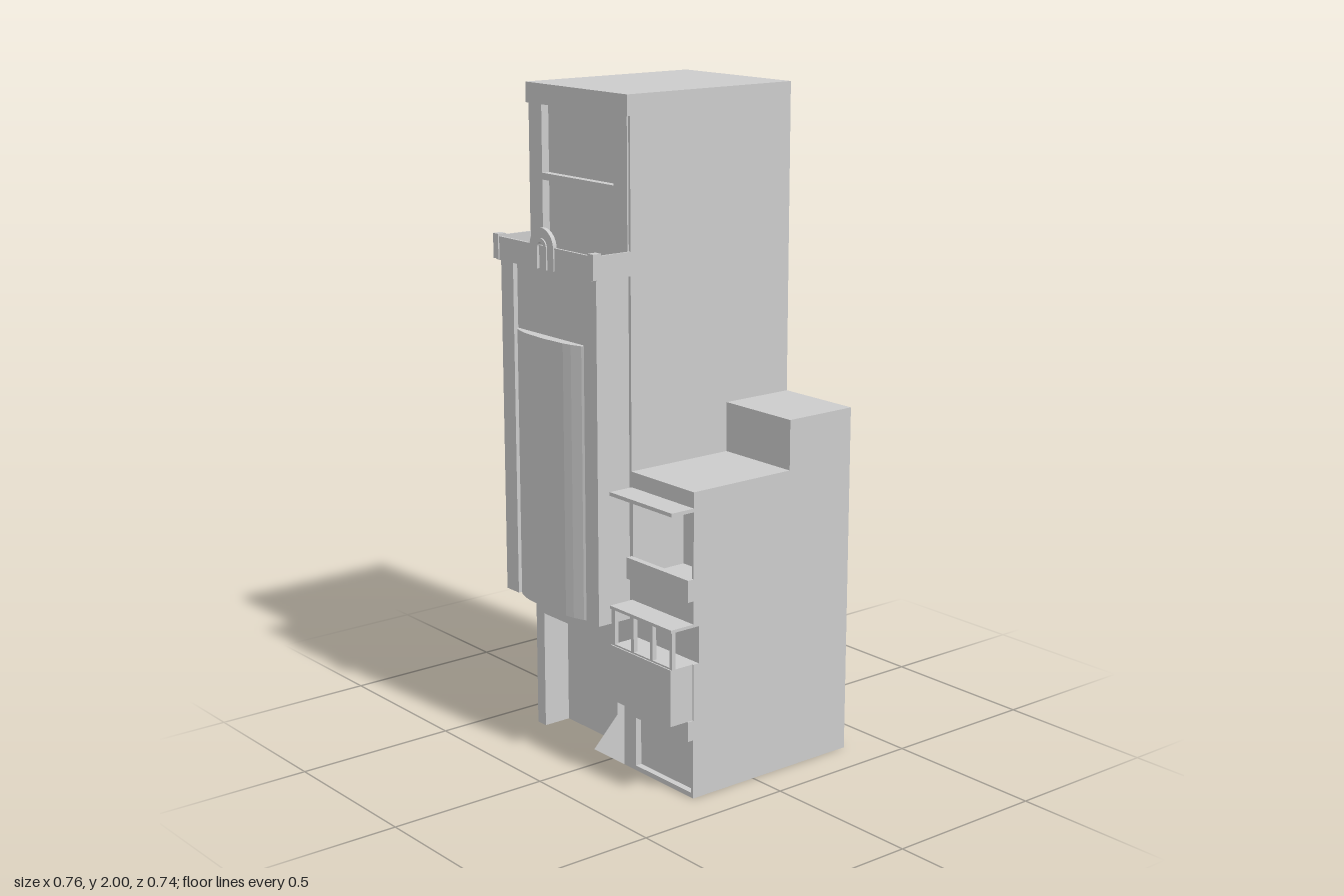
import * as THREE from 'three';

const material = new THREE.MeshStandardMaterial({ color: 0xcccccc });

export function createModel() {
  const model = new THREE.Group();
  model.name = 'building';

  const group = (name) => {
    const g = new THREE.Group();
    g.name = name;
    model.add(g);
    return g;
  };
  const add = (parent, name, geometry) => {
    const mesh = new THREE.Mesh(geometry, material);
    mesh.name = name;
    parent.add(mesh);
    return mesh;
  };
  // Box given by its limits on each axis
  const box = (parent, name, [x0, x1], [y0, y1], [z0, z1]) => {
    const mesh = add(parent, name, new THREE.BoxGeometry(x1 - x0, y1 - y0, z1 - z0));
    mesh.position.set((x0 + x1) / 2, (y0 + y1) / 2, (z0 + z1) / 2);
    return mesh;
  };
  const rect = (target, [x0, x1], [y0, y1]) => {
    target.moveTo(x0, y0).lineTo(x1, y0).lineTo(x1, y1).lineTo(x0, y1).closePath();
    return target;
  };
  // Upright wall plate with rectangular openings
  const plate = (parent, name, xs, ys, [z0, z1], holes) => {
    const shape = rect(new THREE.Shape(), xs, ys);
    for (const [hx, hy] of holes) shape.holes.push(rect(new THREE.Path(), hx, hy));
    const mesh = add(parent, name,
      new THREE.ExtrudeGeometry(shape, { depth: z1 - z0, bevelEnabled: false }));
    mesh.position.z = z0;
    return mesh;
  };

  // Tower mass, with the entrance hollowed out of its foot
  const tower = group('tower');
  const towerX = [-0.38, 0.1];
  box(tower, 'rearBody', towerX, [0, 2], [-0.37, 0.05]);
  box(tower, 'frontBody', towerX, [0.37, 2], [0.05, 0.21]);
  box(tower, 'lowerFacade', towerX, [0.37, 1.49], [0.21, 0.23]);
  box(tower, 'entranceLeftPier', [0.06, 0.1], [0, 0.37], [0.05, 0.23]);
  box(tower, 'entranceRightPier', [-0.38, -0.34], [0, 0.37], [0.05, 0.23]);
  box(tower, 'entranceBackWall', [-0.34, -0.09], [0, 0.37], [0.05, 0.14]);

  // Sloped stair in the deep entrance niche
  const slope = new THREE.Shape();
  slope.moveTo(-0.23, 0).lineTo(-0.05, 0).lineTo(-0.05, 0.18).closePath();
  const ramp = add(tower, 'entranceRamp',
    new THREE.ExtrudeGeometry(slope, { depth: 0.15, bevelEnabled: false }));
  ramp.rotation.y = Math.PI / 2;
  ramp.position.x = -0.09;

  // Upper facade with two recessed windows, corner strips and the crowning band
  plate(tower, 'upperFacade', [-0.37, 0.092], [1.49, 1.95], [0.21, 0.235], [
    [[-0.31, 0.03], [1.5, 1.72]],
    [[-0.31, 0.03], [1.74, 1.94]],
  ]);
  box(tower, 'cornerStrip', [-0.38, -0.37], [1.49, 1.94], [0.21, 0.23]);
  box(tower, 'cornerStrip', [0.092, 0.1], [1.49, 1.94], [0.21, 0.23]);
  box(tower, 'crownBand', towerX, [1.94, 2], [0.21, 0.24]);

  // Hanging bay: two piers, a sunk panel and a bowed window
  const bay = group('towerBay');
  box(bay, 'bayPanel', [-0.31, 0.03], [0.47, 1.49], [0.23, 0.33]);
  box(bay, 'bayPier', [-0.37, -0.31], [0.47, 1.49], [0.23, 0.345]);
  box(bay, 'bayPier', [0.03, 0.09], [0.47, 1.49], [0.23, 0.345]);
  const bow = new THREE.Shape();
  bow.moveTo(-0.31, -0.32).lineTo(0.03, -0.32);
  for (const [x, z] of [[0.17, 0.333], [0.155, 0.343], [0.12, 0.354], [0.09, 0.36], [0, 0.365],
    [-0.09, 0.36], [-0.12, 0.354], [-0.155, 0.343], [-0.17, 0.333]]) bow.lineTo(x - 0.14, -z);
  bow.closePath();
  const bowWindow = add(bay, 'bowWindow',
    new THREE.ExtrudeGeometry(bow, { depth: 0.82, bevelEnabled: false }));
  bowWindow.rotation.x = -Math.PI / 2;
  bowWindow.position.y = 0.47;

  // Balcony on top of the bay
  const balcony = group('balcony');
  box(balcony, 'balconyDeck', [-0.37, 0.092], [1.49, 1.505], [0.23, 0.355]);
  box(balcony, 'balconyParapet', [-0.37, 0.09], [1.49, 1.56], [0.353, 0.361]);
  for (const [x0, x1, p0, p1] of [[-0.377, -0.37, -0.38, -0.355], [0.092, 0.099, 0.078, 0.103]]) {
    box(balcony, 'balconySide', [x0, x1], [1.49, 1.56], [0.23, 0.35]);
    box(balcony, 'balconyPost', [p0, p1], [1.493, 1.567], [0.337, 0.365]);
  }
  // Arched crest and its raised inner surround
  const arch = (name, outer, inner, z0, z1) => {
    const s = new THREE.Shape();
    s.moveTo(outer, 1.493).lineTo(outer, 1.555).absarc(0, 1.555, outer, 0, Math.PI).lineTo(-outer, 1.493);
    s.lineTo(-inner, 1.493).lineTo(-inner, 1.555).absarc(0, 1.555, inner, Math.PI, 0, true);
    s.lineTo(inner, 1.493).closePath();
    const mesh = add(balcony, name,
      new THREE.ExtrudeGeometry(s, { depth: z1 - z0, bevelEnabled: false, curveSegments: 12 }));
    mesh.position.set(-0.14, 0, z0);
  };
  arch('archCrest', 0.057, 0.016, 0.352, 0.365);
  arch('archSurround', 0.028, 0.016, 0.36, 0.369);

  // Annex mass, stepping down towards the front
  const annex = group('annex');
  const ax = [0.1, 0.38];
  box(annex, 'annexRear', ax, [0, 1.07], [-0.37, -0.13]);
  box(annex, 'annexMiddle', ax, [0, 0.92], [-0.13, 0.04]);
  box(annex, 'annexLower', ax, [0, 0.53], [0.04, 0.21]);
  plate(annex, 'shopFront', ax, [0, 0.41], [0.21, 0.23], [[[0.115, 0.37], [0.015, 0.18]]]);
  box(annex, 'loggiaFloor', ax, [0.53, 0.605], [0.04, 0.23]);
  box(annex, 'loggiaWall', [0.1, 0.106], [0.605, 0.86], [0.04, 0.23]);
  box(annex, 'loggiaWall', [0.372, 0.38], [0.605, 0.86], [0.04, 0.23]);
  box(annex, 'annexTop', ax, [0.86, 0.92], [0.04, 0.23]);
  box(annex, 'loggiaParapet', ax, [0.6, 0.665], [0.23, 0.25]);
  box(annex, 'awning', ax, [0.862, 0.873], [0.23, 0.31]);
  box(annex, 'shopBand', ax, [0.18, 0.24], [0.23, 0.25]);

  // Projecting annex bay with an open row of three windows
  box(annex, 'annexBayBase', [0.1, 0.376], [0.24, 0.41], [0.23, 0.31]);
  plate(annex, 'annexBayWindows', [0.1, 0.376], [0.41, 0.525], [0.293, 0.306], [
    [[0.115, 0.19], [0.415, 0.522]],
    [[0.203, 0.277], [0.415, 0.522]],
    [[0.29, 0.365], [0.415, 0.522]],
  ]);
  box(annex, 'annexBayRoof', ax, [0.522, 0.531], [0.205, 0.312]);

  return model;
}
